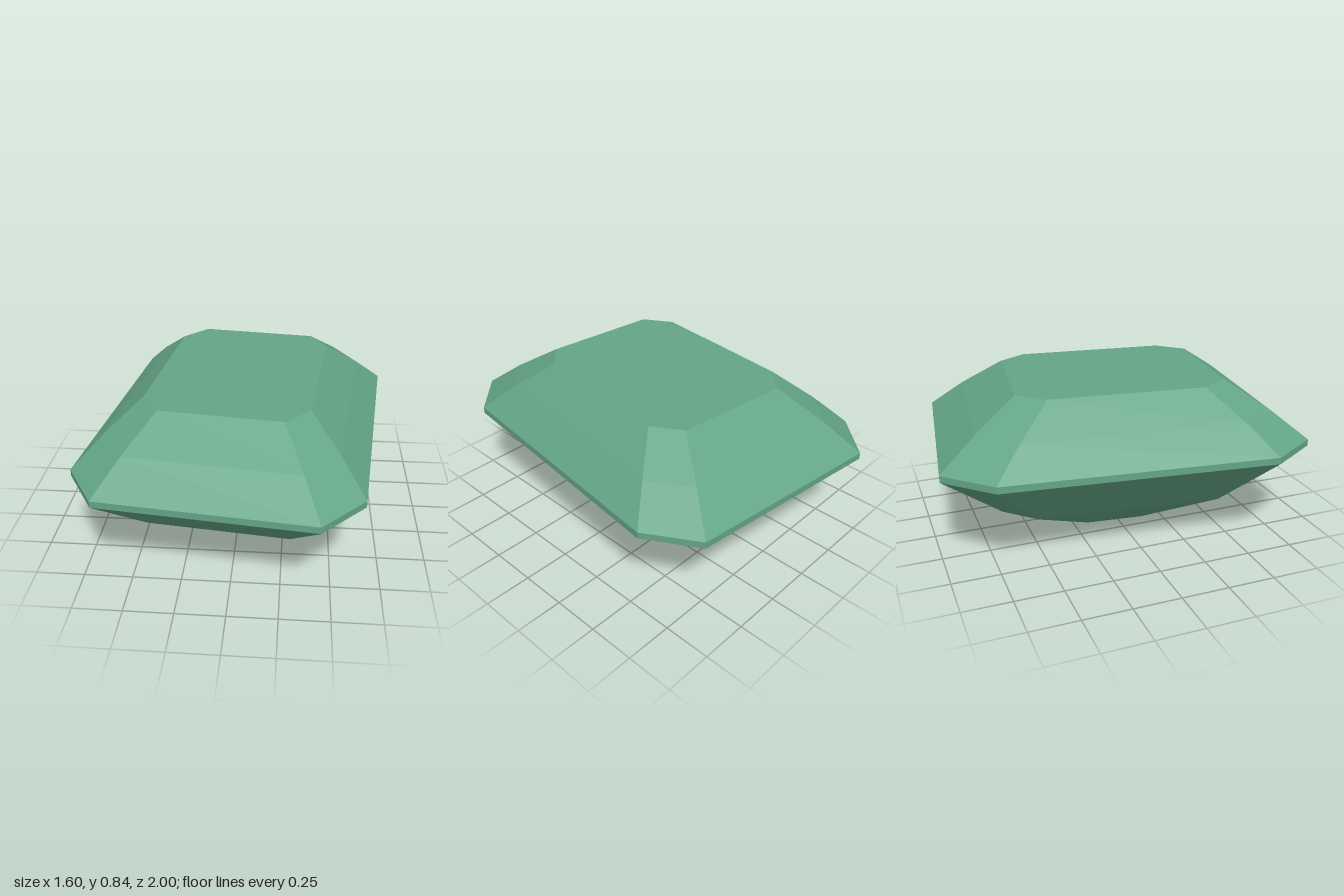
import * as THREE from 'three';

const HALF_W = 0.726, HALF_D = 0.945, CUT = 0.74, TURN = 0.1135;

// Octagonal outline with cut corners, slightly turned about y
const outline = [
  [-CUT, -1], [CUT, -1], [1, -CUT], [1, CUT],
  [CUT, 1], [-CUT, 1], [-1, CUT], [-1, -CUT],
].map(([x, z]) => new THREE.Vector2(x * HALF_W, z * HALF_D).rotateAround(new THREE.Vector2(), TURN));

const ring = ([scale, y]) => outline.map(p => [p.x * scale, y, p.y * scale]);

function facetMesh(name, triangles, material) {
  const geometry = new THREE.BufferGeometry();
  geometry.setAttribute('position', new THREE.Float32BufferAttribute(triangles.flat(2), 3));
  geometry.computeVertexNormals();
  const mesh = new THREE.Mesh(geometry, material);
  mesh.name = name;
  return mesh;
}

// Band of flat facets between two levels
function band(lower, upper) {
  const a = ring(lower), b = ring(upper), tris = [];
  for (let i = 0; i < 8; i++) {
    const j = (i + 1) % 8;
    tris.push([a[i], b[i], b[j]], [a[i], b[j], a[j]]);
  }
  return tris;
}

// Flat octagon closing one end
function cap(level, up) {
  const p = ring(level), centre = [0, level[1], 0];
  return p.map((q, i) => {
    const next = p[(i + 1) % 8];
    return up ? [centre, next, q] : [centre, q, next];
  });
}

export function createModel() {
  const group = new THREE.Group();
  group.name = 'cutGem';
  const green = new THREE.MeshStandardMaterial({ color: 0x64a586 });
  green.name = 'gemGreen';

  // Levels as [outline scale, height]
  const culet = [0.22, 0], pavilionBreak = [0.683, 0.235];
  const girdleLow = [1, 0.51], girdleHigh = [1, 0.545];
  const crownBreak = [0.81, 0.69], table = [0.58, 0.837];

  const parts = {
    culet: cap(culet, false),
    lowerPavilion: band(culet, pavilionBreak),
    upperPavilion: band(pavilionBreak, girdleLow),
    girdle: band(girdleLow, girdleHigh),
    lowerCrown: band(girdleHigh, crownBreak),
    upperCrown: band(crownBreak, table),
    table: cap(table, true),
  };
  for (const [name, tris] of Object.entries(parts)) group.add(facetMesh(name, tris, green));
  return group;
}
